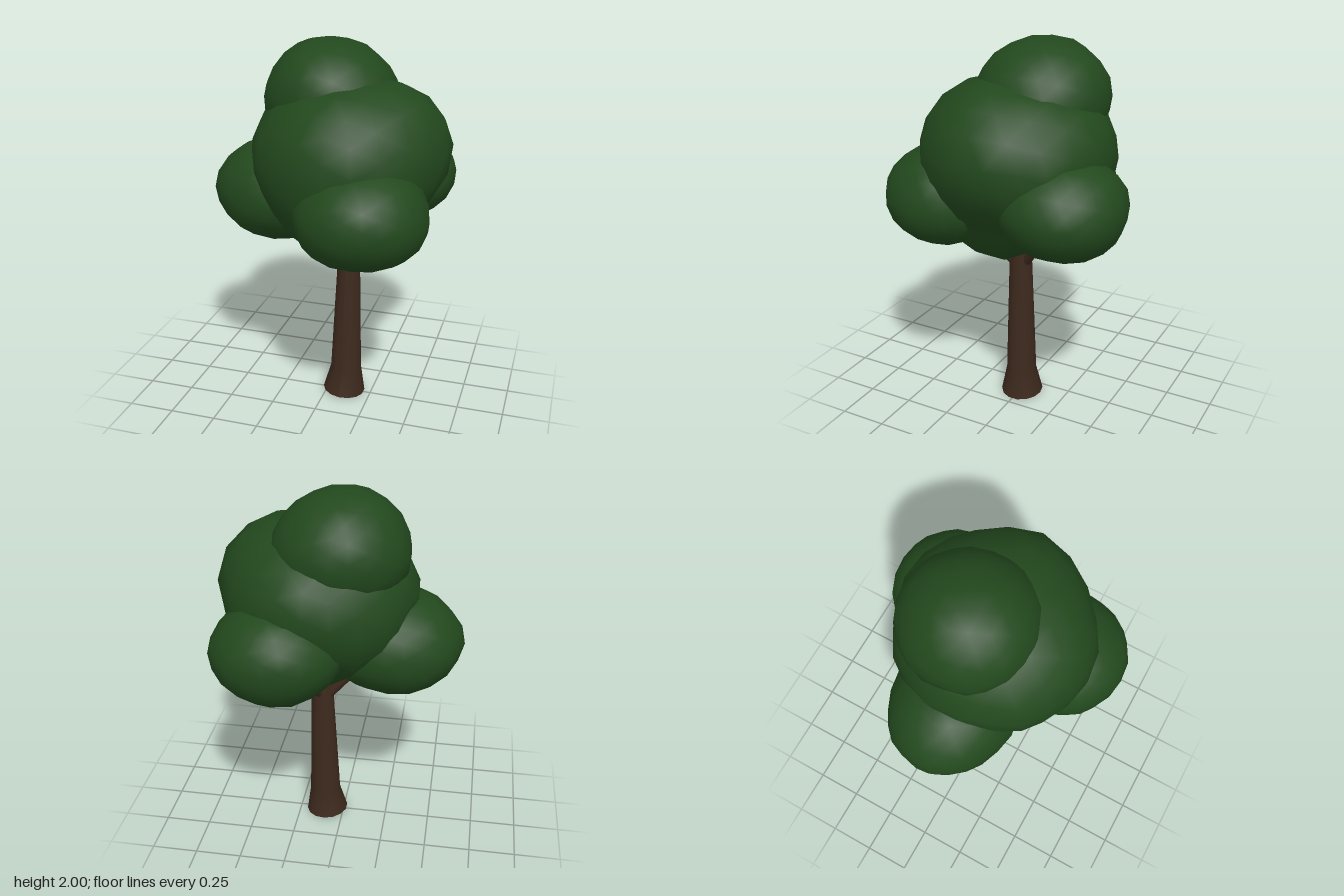
import * as THREE from 'three';
import { mergeVertices } from 'three/addons/utils/BufferGeometryUtils.js';

const bark = new THREE.MeshStandardMaterial({ color: 0x3d291d });
const leaf = new THREE.MeshStandardMaterial({ color: 0x22481d });

// Lumpy ellipsoid: gentle waves plus broad bumps or hollows given as [direction x, y, z, amount]
function foliage(name, centre, radii, seed, bumps) {
  let geo = new THREE.IcosahedronGeometry(1, 3);
  geo.deleteAttribute('uv');
  geo.deleteAttribute('normal');
  geo = mergeVertices(geo, 1e-4);
  const pos = geo.attributes.position;
  const v = new THREE.Vector3();
  const lobes = bumps.map(([x, y, z, amount]) => ({ dir: new THREE.Vector3(x, y, z).normalize(), amount }));
  for (let i = 0; i < pos.count; i++) {
    v.fromBufferAttribute(pos, i).normalize();
    let r = 1 + 0.02 * Math.sin(4.3 * v.x + seed) * Math.cos(3.7 * v.y - seed)
      + 0.015 * Math.sin(8 * v.z + 2 * seed + 3 * v.y) * Math.cos(7 * v.x);
    for (const { dir, amount } of lobes) r += amount * Math.exp(-8 * (1 - v.dot(dir)));
    pos.setXYZ(i, v.x * radii[0] * r, v.y * radii[1] * r, v.z * radii[2] * r);
  }
  geo.computeVertexNormals();
  const mesh = new THREE.Mesh(geo, leaf);
  mesh.name = name;
  mesh.position.set(...centre);
  return mesh;
}

// Trunk with flared foot; each ring is [y, centre x, centre z, radius x, radius z]
function makeTrunk() {
  const rings = [
    [0.01, 0.095, -0.003, 0.117, 0.115],
    [0.16, 0.105, -0.005, 0.085, 0.081],
    [0.8, 0.115, -0.008, 0.061, 0.061],
    [0.98, 0.12, -0.008, 0.05, 0.05],
  ];
  const geo = new THREE.CylinderGeometry(1, 1, 3, 14, 3);
  const pos = geo.attributes.position;
  for (let i = 0; i < pos.count; i++) {
    const k = Math.round(pos.getY(i) + 1.5);
    const [y, cx, cz, rx, rz] = rings[k];
    const tilt = k === 0 ? -0.009 * pos.getX(i) : 0;
    pos.setXYZ(i, cx + rx * pos.getX(i), y + tilt, cz + rz * pos.getZ(i));
  }
  geo.computeVertexNormals();
  const mesh = new THREE.Mesh(geo, bark);
  mesh.name = 'trunk';
  return mesh;
}

// Tapered limb between two points
function branch(name, from, to) {
  const a = new THREE.Vector3(...from);
  const b = new THREE.Vector3(...to);
  const mesh = new THREE.Mesh(new THREE.CylinderGeometry(0.02, 0.03, a.distanceTo(b), 8), bark);
  mesh.position.copy(a).lerp(b, 0.5);
  mesh.quaternion.setFromUnitVectors(new THREE.Vector3(0, 1, 0), b.sub(a).normalize());
  mesh.name = name;
  return mesh;
}

export function createModel() {
  const tree = new THREE.Group();
  tree.name = 'tree';
  tree.add(
    makeTrunk(),
    branch('rightBranch', [0.1, 0.78, -0.01], [-0.18, 1.1, -0.02]),
    branch('frontBranch', [0.11, 0.78, 0], [0.23, 1.08, 0.23]),
    branch('backBranch', [0.11, 0.78, -0.01], [0.22, 1.1, -0.25]),
    // Central mass: broad shoulders above, hollowed underneath where the limbs spread
    foliage('centralFoliage', [0.12, 1.35, 0], [0.5, 0.46, 0.505], 0.6, [
      [0.55, 0.85, 0.1, 0.07], [0.9, 0.5, 0.1, 0.09], [0.95, 0.1, 0, 0.04],
      [0.1, 0.65, 0.75, 0.08], [0.1, 0.65, -0.75, 0.08], [-0.75, 0.55, 0, 0.06],
      [0.65, 0.35, -0.65, 0.05], [-0.65, 0.35, 0.65, 0.05], [-0.6, 0.3, -0.7, 0.06],
      [-0.35, 0.3, 0.85, 0.03], [-0.9, 0.25, -0.2, 0.03],
      [0.85, -0.55, 0, -0.18], [-0.75, -0.65, 0, -0.22], [0.1, -0.65, -0.75, -0.24],
      [0.2, -1, 0.3, 0.16],
    ]),
    // Crown and three side clumps
    foliage('crownFoliage', [0, 1.69, -0.077], [0.35, 0.305, 0.35], 2.1,
      [[-0.6, 0.7, 0, 0.03], [0.5, 0.8, 0, -0.02]]),
    foliage('rightFoliage', [-0.26, 1.185, -0.03], [0.37, 0.275, 0.33], 3.4, [[0, -1, 0, 0.02]]),
    foliage('frontFoliage', [0.265, 1.2, 0.33], [0.34, 0.265, 0.33], 4.2, [[0.5, 0.8, -0.3, 0.06]]),
    foliage('backFoliage', [0.285, 1.24, -0.335], [0.335, 0.26, 0.32], 5.3,
      [[-0.1, -0.8, -0.45, 0.05], [0, -0.8, 0.5, 0.05]]),
  );
  return tree;
}
